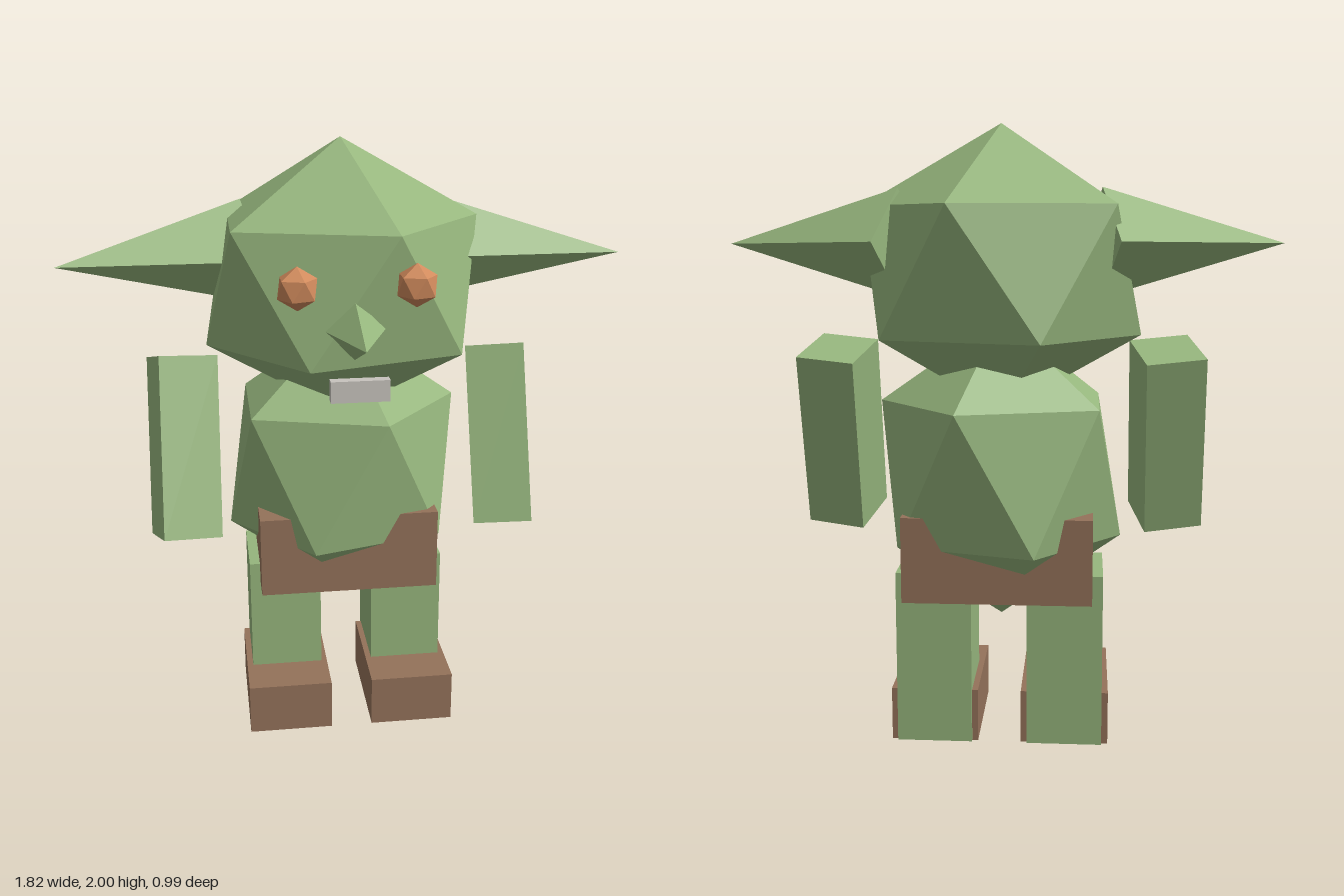
import * as THREE from 'three';
import { ConvexGeometry } from 'three/addons/geometries/ConvexGeometry.js';

const LEAN = -0.027; // slight backward lean shared by most parts

function material(name, color) {
  const m = new THREE.MeshStandardMaterial({ color, flatShading: true });
  m.name = name;
  return m;
}

// Icosahedron with a vertex at each pole, stretched to three radii
function poleIcosahedron(rx, ry, rz) {
  const h = 1 / Math.sqrt(5), r = 2 * h;
  const points = [new THREE.Vector3(0, ry, 0), new THREE.Vector3(0, -ry, 0)];
  for (let i = 0; i < 5; i++) {
    const a = (i * Math.PI * 2) / 5;
    const x = Math.cos(a) * r * rx, z = Math.sin(a) * r * rz;
    points.push(new THREE.Vector3(x, h * ry, z), new THREE.Vector3(-x, -h * ry, -z));
  }
  return new ConvexGeometry(points);
}

export function createModel() {
  const group = new THREE.Group();
  group.name = 'goblin';
  const skin = material('green skin', 0x96b67d);
  const leather = material('brown leather', 0x94725a);
  const amber = material('amber eye', 0xd08a5c);
  const tooth = material('pale tooth', 0xc8c4be);

  function add(name, geometry, mat, position, rotation = [LEAN, 0, 0]) {
    const mesh = new THREE.Mesh(geometry, mat);
    mesh.name = name;
    mesh.position.set(...position);
    mesh.rotation.set(...rotation);
    group.add(mesh);
    return mesh;
  }
  const box = (w, h, d) => new THREE.BoxGeometry(w, h, d);

  // Head and torso
  add('head', poleIcosahedron(0.503, 0.46, 0.438), skin, [0, 1.543, -0.118]);
  add('torso', poleIcosahedron(0.437, 0.495, 0.382), skin, [0, 0.903, -0.135]);

  // Trousers, with the torso bulging through the top
  add('trousers', box(0.6, 0.275, 0.5), leather, [0, 0.65, -0.12]);

  // Nose: four-sided cone pointing forward
  const noseShape = new THREE.ConeGeometry(0.095, 0.255, 4).rotateX(Math.PI / 2);
  add('nose', noseShape, skin, [0, 1.477, 0.363]);

  // Mouth
  add('mouth', box(0.18, 0.067, 0.034), tooth, [0, 1.322, 0.358]);

  // Ears: flattened four-sided cones pointing outward
  const earShape = new THREE.ConeGeometry(1, 0.617, 4).rotateZ(-Math.PI / 2).scale(1, 0.17, 0.19);
  const eyeShape = poleIcosahedron(0.067, 0.067, 0.067);
  const armShape = box(0.195, 0.603, 0.216);
  const legShape = box(0.245, 0.571, 0.285);
  const footShape = box(0.285, 0.175, 0.425);

  // Paired parts
  for (const s of [1, -1]) {
    const side = s > 0 ? 'left' : 'right';
    add(side + 'Ear', earShape, skin, [s * 0.615, 1.63, -0.12], [0, s > 0 ? -0.295 : Math.PI + 0.295, 0]);
    add(side + 'Eye', eyeShape, amber, [s * 0.179, 1.622, 0.295]);
    add(side + 'Arm', armShape, skin, [s * 0.539, 1.006, -0.049], [-0.314, s * -0.224, s * 0.017]);
    add(side + 'Leg', legShape, skin, [s * 0.2125, 0.2925, -0.113]);
    add(side + 'Foot', footShape, leather, [s * 0.213, 0.0945, -0.022]);
  }
  return group;
}
